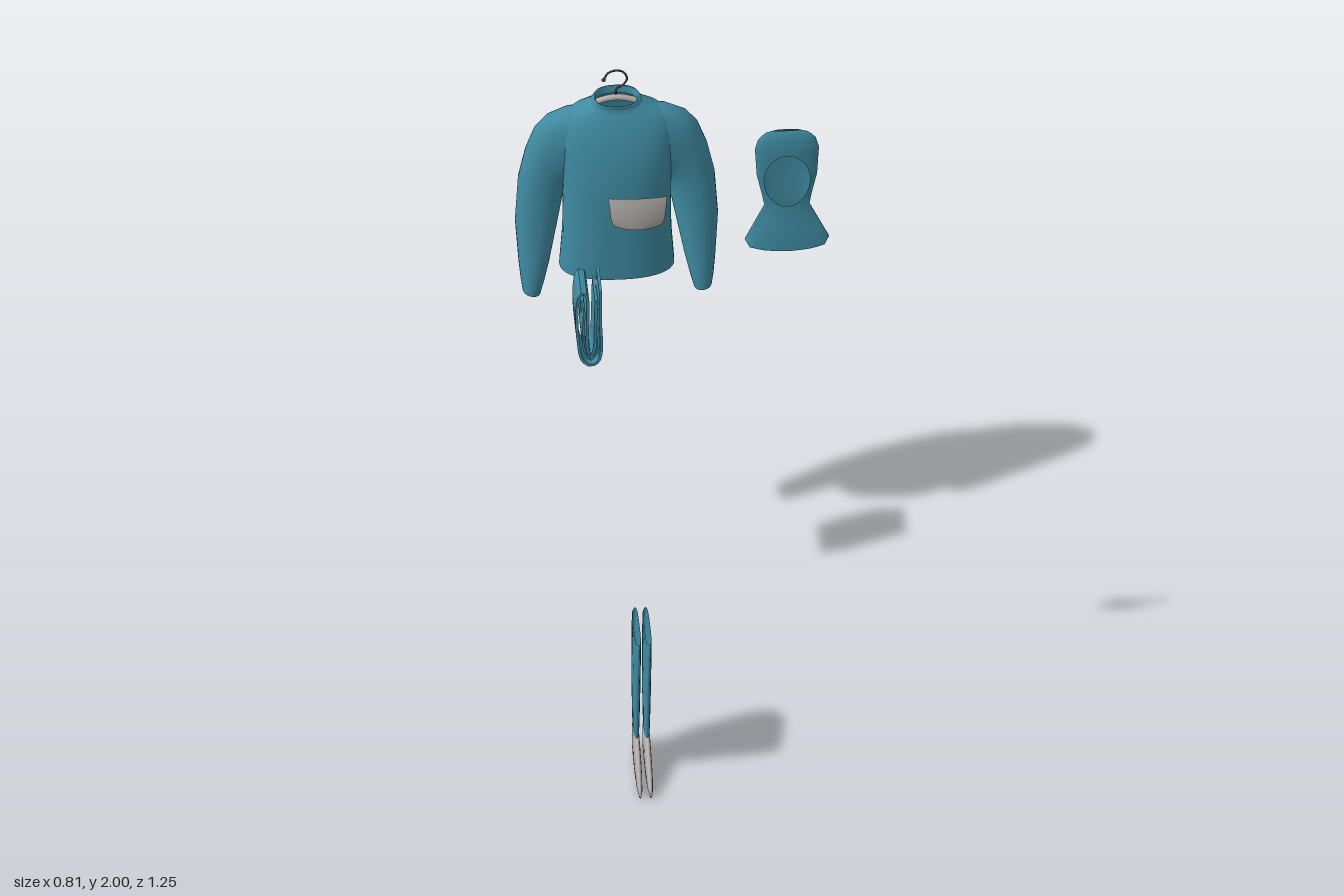
import * as THREE from 'three';
import { toCreasedNormals } from 'three/addons/utils/BufferGeometryUtils.js';

const V = (x, y, z) => new THREE.Vector3(x, y, z);
const mat = (name, color) => {
  const m = new THREE.MeshStandardMaterial({ color, side: THREE.DoubleSide });
  m.name = name;
  return m;
};

function grid(rows, closed) {
  const n = rows[0].length, pos = [], idx = [];
  rows.forEach(r => r.forEach(p => pos.push(p.x, p.y, p.z)));
  for (let i = 0; i < rows.length - 1; i++)
    for (let j = 0; j < (closed ? n : n - 1); j++) {
      const a = i * n + j, b = i * n + (j + 1) % n;
      idx.push(a, b, a + n, b, b + n, a + n);
    }
  const g = new THREE.BufferGeometry();
  g.setAttribute('position', new THREE.Float32BufferAttribute(pos, 3));
  g.setIndex(idx);
  g.computeVertexNormals();
  return g;
}

// Each section is [end a, end b, half thickness vector]; power < 1 squares the ellipse
function loft(sections, power = 1, n = 28) {
  const bend = v => Math.sign(v) * Math.abs(v) ** power;
  return grid(sections.map(([a, b, t]) => {
    const mid = a.clone().add(b).multiplyScalar(0.5), half = a.clone().sub(b).multiplyScalar(0.5);
    return Array.from({ length: n }, (_, j) => {
      const s = j / n * Math.PI * 2;
      return mid.clone().addScaledVector(half, bend(Math.cos(s))).addScaledVector(t, bend(Math.sin(s)));
    });
  }), true);
}

// Linear lookup in rows sorted by descending y: [y, ...values]
function lookup(table, y, k) {
  for (let i = 0; i < table.length - 1; i++) {
    const a = table[i], b = table[i + 1];
    if (y >= b[0]) return THREE.MathUtils.lerp(a[k], b[k], Math.min(1, Math.max(0, (a[0] - y) / (a[0] - b[0]))));
  }
  return table.at(-1)[k];
}

// Cloth strip: a thick curve extruded along z
function ribbon(points, width, thick, closed = false) {
  const c = new THREE.CatmullRomCurve3(points.map(p => V(p[0], p[1], 0)), closed, 'centripetal');
  const n = 70, side = [[], []];
  for (let i = 0; i <= n; i++) {
    const p = c.getPointAt(i / n), t = c.getTangentAt(i / n);
    [1, -1].forEach((s, k) => side[k].push(new THREE.Vector2(p.x - t.y * s * thick / 2, p.y + t.x * s * thick / 2)));
  }
  const shape = new THREE.Shape([...side[0], ...side[1].reverse()]);
  return toCreasedNormals(new THREE.ExtrudeGeometry(shape, { depth: width, bevelEnabled: false }), 0.7);
}

export function createModel() {
  const root = new THREE.Group();
  const teal = mat('teal cloth', 0x3f8ba2), grey = mat('light grey', 0xb5b0ac), dark = mat('dark metal', 0x3c3c3c);
  const add = (name, geo, m, parent = root) => {
    const mesh = new THREE.Mesh(geo, m);
    mesh.name = name;
    parent.add(mesh);
    return mesh;
  };

  // Sweater
  const sweater = new THREE.Group();
  sweater.name = 'sweater';
  sweater.position.x = -0.128;
  root.add(sweater);
  // y, half width, front z, back z, tilt
  const torso = [
    [0.984, 0.158, -0.445, -0.625, 0], [1.1, 0.15, -0.446, -0.622, 0], [1.25, 0.148, -0.448, -0.622, 0],
    [1.34, 0.155, -0.455, -0.622, 0], [1.42, 0.165, -0.475, -0.621, 0], [1.465, 0.155, -0.492, -0.615, 0],
    [1.495, 0.115, -0.506, -0.607, 0], [1.51, 0.075, -0.513, -0.598, 0.004], [1.525, 0.067, -0.508, -0.59, 0.008],
    [1.533, 0.063, -0.508, -0.587, 0.009], [1.531, 0.058, -0.512, -0.583, 0.009], [1.512, 0.057, -0.514, -0.581, 0.007]];
  add('torso', loft(torso.map(([y, w, f, b, t]) =>
    [V(w, y, (f + b) / 2), V(-w, y, (f + b) / 2), V(0, -t, (f - b) / 2)]), 0.85, 40), teal, sweater);
  // outer x, outer y, inner x, inner y, centre z, half depth
  const sleeve = [
    [0.08, 1.5, 0.1, 1.28, -0.555, 0.055], [0.135, 1.492, 0.12, 1.26, -0.557, 0.057],
    [0.19, 1.465, 0.135, 1.245, -0.56, 0.055], [0.224, 1.425, 0.142, 1.23, -0.56, 0.052],
    [0.25, 1.355, 0.146, 1.21, -0.559, 0.05], [0.27, 1.265, 0.153, 1.17, -0.555, 0.049],
    [0.279, 1.13, 0.165, 1.11, -0.545, 0.048], [0.27, 1.0, 0.186, 1.005, -0.528, 0.044],
    [0.265, 0.95, 0.2, 0.945, -0.521, 0.041], [0.26, 0.915, 0.21, 0.907, -0.518, 0.037]];
  for (const s of [1, -1])
    add(s > 0 ? 'leftSleeve' : 'rightSleeve', loft(sleeve.map(([ox, oy, ix, iy, z, d]) =>
      [V(s * ox, oy, z), V(s * ix, iy, z), V(0, 0, d)]), 0.92), teal, sweater);

  // Hanger with hook
  const tube = (pts, r) => new THREE.TubeGeometry(new THREE.CatmullRomCurve3(pts, false, 'centripetal'), 40, r, 8);
  add('hangerArms', tube([V(-0.15, 1.45, -0.56), V(-0.06, 1.505, -0.56), V(0, 1.52, -0.56),
    V(0.06, 1.505, -0.56), V(0.15, 1.45, -0.56)], 0.009), grey, sweater);
  add('hangerHook', tube([V(0, 1.515, -0.562), V(0.001, 1.545, -0.562), V(0.02, 1.56, -0.562), V(0.03, 1.58, -0.562),
    V(0.02, 1.602, -0.562), V(0, 1.608, -0.562), V(-0.022, 1.6, -0.562), V(-0.034, 1.578, -0.562)], 0.003), dark, sweater);
  add('hookTip', new THREE.SphereGeometry(0.006, 12, 8), dark, sweater).position.set(-0.034, 1.578, -0.562);

  // Hood: y, half width, centre z, half depth
  const hoodRows = [
    [2.0, 0.035, 0.282, 0.004], [1.992, 0.06, 0.282, 0.009], [1.975, 0.078, 0.282, 0.014], [1.94, 0.088, 0.282, 0.018],
    [1.85, 0.083, 0.28, 0.017], [1.78, 0.068, 0.278, 0.013], [1.745, 0.062, 0.278, 0.012],
    [1.71, 0.075, 0.278, 0.014], [1.66, 0.105, 0.278, 0.02], [1.62, 0.122, 0.28, 0.021], [1.6, 0.122, 0.281, 0.021]];
  const cy = 1.835, steps = 72;
  function hoodSide(sign, hem, rx, ry) {
    // right edge from crown to hem, then along the hem, mirrored for the left
    const edge = [[0, 2.0], ...hoodRows.filter(r => r[0] > 1.615).map(r => [r[1], r[0]]), [0.1, THREE.MathUtils.lerp(1.62, hem, 0.4)],
      [0.06, THREE.MathUtils.lerp(1.62, hem, 0.8)], [0, hem]];
    const reach = a => { // distance from the face centre to the edge
      const dx = Math.sin(a), dy = Math.cos(a);
      for (let i = 0; i < edge.length - 1; i++) {
        const [px, py] = edge[i], ex = edge[i + 1][0] - px, ey = edge[i + 1][1] - py, qy = py - cy;
        const det = dy * ex - dx * ey, t = (qy * ex - px * ey) / det, u = (dx * qy - dy * px) / det;
        if (Math.abs(det) > 1e-9 && t > 0 && u >= -1e-6 && u <= 1 + 1e-6) return t;
      }
      return 0.1;
    };
    const rows = [];
    for (let i = 0; i <= 10; i++)
      rows.push(Array.from({ length: steps }, (_, j) => {
        const a = j / steps * Math.PI * 2, fold = a > Math.PI ? Math.PI * 2 - a : a;
        const inner = rx ? 1 / Math.hypot(Math.sin(a) / rx, Math.cos(a) / ry) : 0.001;
        const f = Math.sin(i / 10 * Math.PI / 2), r = THREE.MathUtils.lerp(inner, reach(fold), f);
        const x = r * Math.sin(a), y = cy + r * Math.cos(a), w = lookup(hoodRows, y, 1);
        const bulge = Math.sqrt(Math.max(0, 1 - (x / w) ** 2));
        return V(0.283 + x, y, lookup(hoodRows, y, 2) + sign * lookup(hoodRows, y, 3) * bulge);
      }));
    return grid(sign > 0 ? rows.reverse() : rows, true);
  }
  add('hoodFront', hoodSide(1, 1.603, 0.063, 0.088), teal);
  add('hoodBack', hoodSide(-1, 1.65, 0, 0), teal);

  // Face mask: two curved skins
  for (const back of [0, 0.004]) {
    const rows = [];
    for (let i = 0; i <= 8; i++) {
      const v = i / 8, w = v < 0.7 ? 0.081 - 0.01 * v : 0.074 - 0.013 * ((v - 0.7) / 0.3) ** 2;
      rows.push(Array.from({ length: 17 }, (_, j) => {
        const u = j / 8 - 1;
        return V(-0.129 + w * u, 1.818 - 0.097 * v - 0.006 * v * (1 - u * u),
          0.331 - back * (1 - u * u) - 0.011 * u * u - 0.004 * (2 * v - 1) ** 2 + 0.002);
      }));
    }
    add(back ? 'maskInside' : 'maskOutside', grid(back ? rows.reverse() : rows, false), grey);
  }

  // Folded trousers
  const folded = new THREE.Group();
  folded.name = 'foldedTrousers';
  folded.position.z = -0.362;
  root.add(folded);
  add('outerFold', ribbon([[-0.192, 1.088], [-0.192, 0.98], [-0.19, 0.89], [-0.2, 0.852], [-0.22, 0.842], [-0.242, 0.86],
    [-0.254, 0.93], [-0.257, 1.03], [-0.25, 1.075], [-0.24, 1.087], [-0.23, 1.075], [-0.227, 1.0],
    [-0.228, 0.9], [-0.219, 0.874], [-0.21, 0.89], [-0.206, 0.97], [-0.204, 1.06]], 0.116, 0.008), teal, folded);
  add('innerFold', ribbon([[-0.247, 1.02], [-0.242, 1.06], [-0.237, 1.02], [-0.238, 0.9], [-0.22, 0.859],
    [-0.202, 0.88], [-0.199, 0.97], [-0.199, 1.03]], 0.112, 0.006), teal, folded);

  // Flat tall socks: back z, back y, front z, front y, half thickness
  const leg = [[0.384, 0.106, 0.485, 0.106, 0.008], [0.372, 0.165, 0.502, 0.17, 0.009], [0.363, 0.217, 0.517, 0.254, 0.01],
    [0.362, 0.34, 0.54, 0.35, 0.01], [0.363, 0.42, 0.554, 0.423, 0.01], [0.37, 0.46, 0.555, 0.455, 0.01],
    [0.4, 0.488, 0.55, 0.466, 0.008]];
  const foot = [[0.43, 0.004, 0.6, 0.0, 0.001], [0.39, 0.011, 0.623, 0.002, 0.006], [0.373, 0.02, 0.629, 0.012, 0.009],
    [0.366, 0.035, 0.612, 0.032, 0.01], [0.363, 0.05, 0.575, 0.053, 0.01], [0.37, 0.08, 0.53, 0.08, 0.009],
    [0.384, 0.107, 0.485, 0.107, 0.008]];
  for (const [side, x] of [['left', -0.114], ['right', -0.143]])
    for (const [part, rows, m] of [['Leg', leg, teal], ['Foot', foot, grey]])
      add(side + part, loft(rows.map(([bz, by, fz, fy, t]) => [V(x, by, bz), V(x, fy, fz), V(t, 0, 0)]), 0.8), m);

  return root;
}
